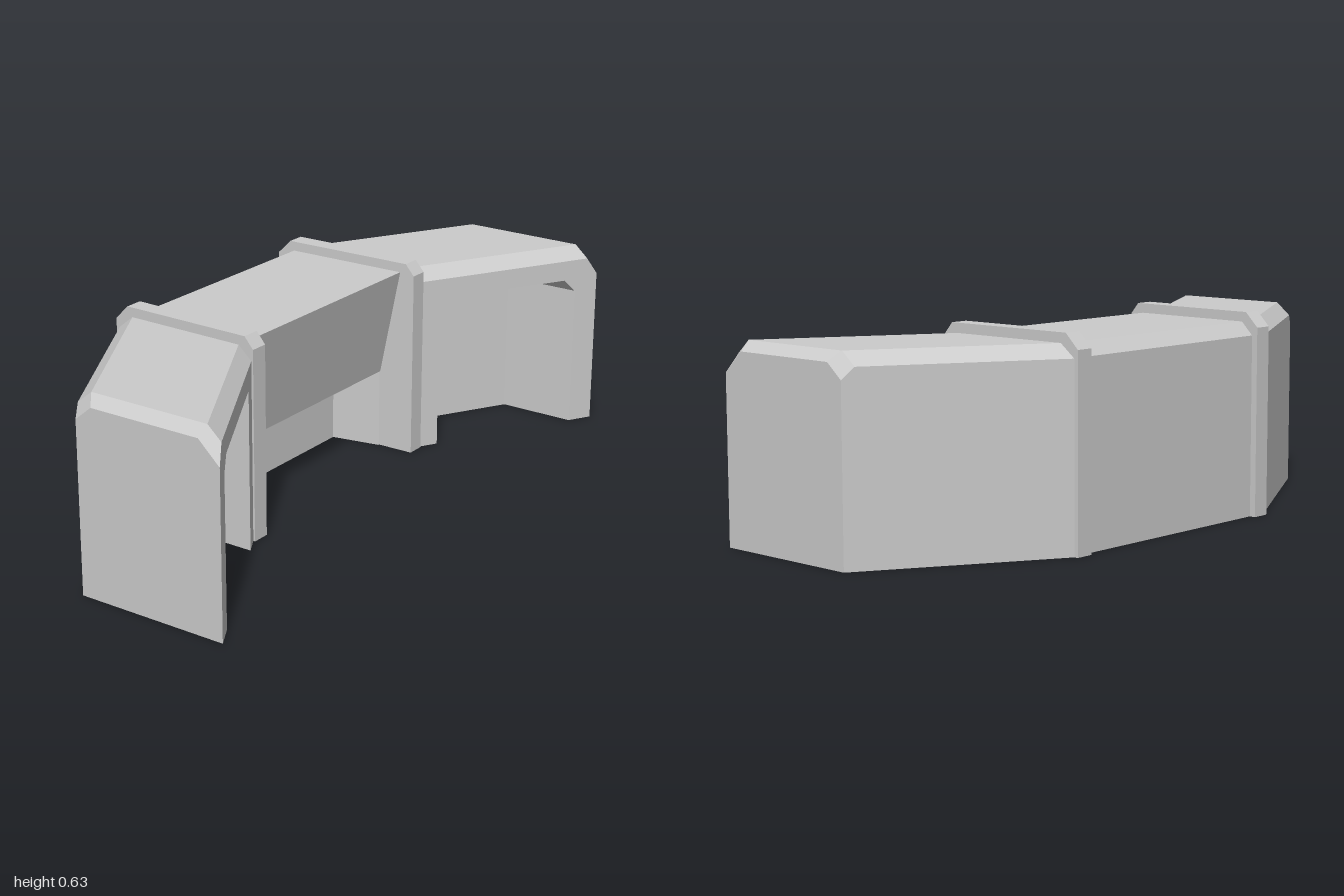
import * as THREE from 'three';

// Thin shell, open underneath
const material = new THREE.MeshStandardMaterial({ color: 0xcccccc, flatShading: true, side: THREE.DoubleSide });

// Front line of the angled wings (30 degrees in plan)
const wingFront = (x) => 0.415 - 0.577 * (1 - x);

// Join successive cross-sections (equal numbers of [x, y, z] points) with flat quads
function loft(sections) {
  const positions = [];
  for (let i = 0; i < sections.length - 1; i++) {
    for (let j = 0; j < sections[i].length - 1; j++) {
      const a = sections[i][j], b = sections[i + 1][j];
      const c = sections[i + 1][j + 1], d = sections[i][j + 1];
      positions.push(...a, ...b, ...c, ...a, ...c, ...d);
    }
  }
  const geometry = new THREE.BufferGeometry();
  geometry.setAttribute('position', new THREE.Float32BufferAttribute(positions, 3));
  geometry.computeVertexNormals();
  return geometry;
}

function addSurface(parent, name, sections) {
  const mesh = new THREE.Mesh(loft(sections), material);
  mesh.name = name;
  parent.add(mesh);
}

// Same for the left (+1) or mirrored right (-1) side; reversed order keeps the faces outward
function addSided(parent, side, name, sections) {
  const mirrored = sections.map((s) => s.map(([x, y, z]) => [side * x, y, z]));
  addSurface(parent, name, side > 0 ? mirrored : mirrored.reverse());
}

function createWing(side) {
  const wing = new THREE.Group();
  wing.name = side > 0 ? 'leftWing' : 'rightWing';
  // Profiles hold [depth behind the front, height]; outlines hold [x, height]
  const across = (x, profile) => profile.map(([d, y]) => [x, y, wingFront(x) - d]);
  const facing = (d, outline) => outline.map(([x, y]) => [x, y, wingFront(x) - d]);

  const body = [[0, 0.56], [0.045, 0.6], [0.44, 0.6], [0.49, 0.56], [0.49, 0]];
  const end = [[0, 0.505], [0.07, 0.57], [0.435, 0.57], [0.49, 0.525], [0.49, 0]];
  addSided(wing, side, 'topAndBack', [across(0.42, body), across(0.967, body), across(1, end)]);

  const endTop = end.slice(0, 4);
  addSided(wing, side, 'endPanel', [across(1, endTop), across(1, endTop.map(([d]) => [d, 0]))]);

  // Front frame, turning inward into the recess
  const outer = [[0.42, 0], [0.42, 0.56], [0.967, 0.56], [1, 0.505], [1, 0]];
  const opening = [[0.5, 0], [0.5, 0.495], [0.895, 0.495], [0.93, 0.455], [0.93, 0]];
  const recess = 0.25;
  addSided(wing, side, 'frontFrame', [facing(0, outer), facing(0, opening)]);
  addSided(wing, side, 'recessSides', [facing(0, opening), facing(recess, opening)]);
  addSided(wing, side, 'recessBack',
    opening.slice(1, 4).map(([x, y]) => facing(recess, [[x, 0], [x, y]])));
  return wing;
}

// Raised trim band over the joint, turned slightly toward the wing
function addJointBand(parent, side) {
  const ridge = [[-0.1, 0], [-0.1, 0.595], [-0.07, 0.63], [0.37, 0.63], [0.415, 0.585], [0.415, 0]];
  const root = [[0.08, 0], [-0.04, 0.595], [-0.04, 0.59], [0.36, 0.59], [0.385, 0.55], [0.385, 0]];
  const ring = (x, profile) => profile.map(([d, y]) => [x + 0.02 * (0.15 - d), y, -d]);
  addSided(parent, side, side > 0 ? 'leftJointBand' : 'rightJointBand',
    [ring(0.381, root), ring(0.381, ridge), ring(0.438, ridge), ring(0.438, root)]);
}

export function createModel() {
  const group = new THREE.Group();
  group.name = 'counter';

  // Middle section: recess back and soffit, sloping front panel, top and back
  const profile = [
    [-0.18, 0], [-0.18, 0.23], [-0.02, 0.255], [0.05, 0.6], [-0.355, 0.6], [-0.395, 0.56], [-0.395, 0],
  ];
  addSurface(group, 'middleSection', [-0.4, 0.4].map((x) => profile.map(([z, y]) => [x, y, z])));

  for (const side of [1, -1]) {
    group.add(createWing(side));
    addJointBand(group, side);

    // Tapered side of the middle recess
    addSided(group, side, side > 0 ? 'leftRecessJamb' : 'rightRecessJamb', [
      [[0.35, 0, -0.18], [0.35, 0.23, -0.18]],
      [[0.38, 0, -0.02], [0.38, 0.255, -0.02]],
    ]);
  }
  return group;
}
